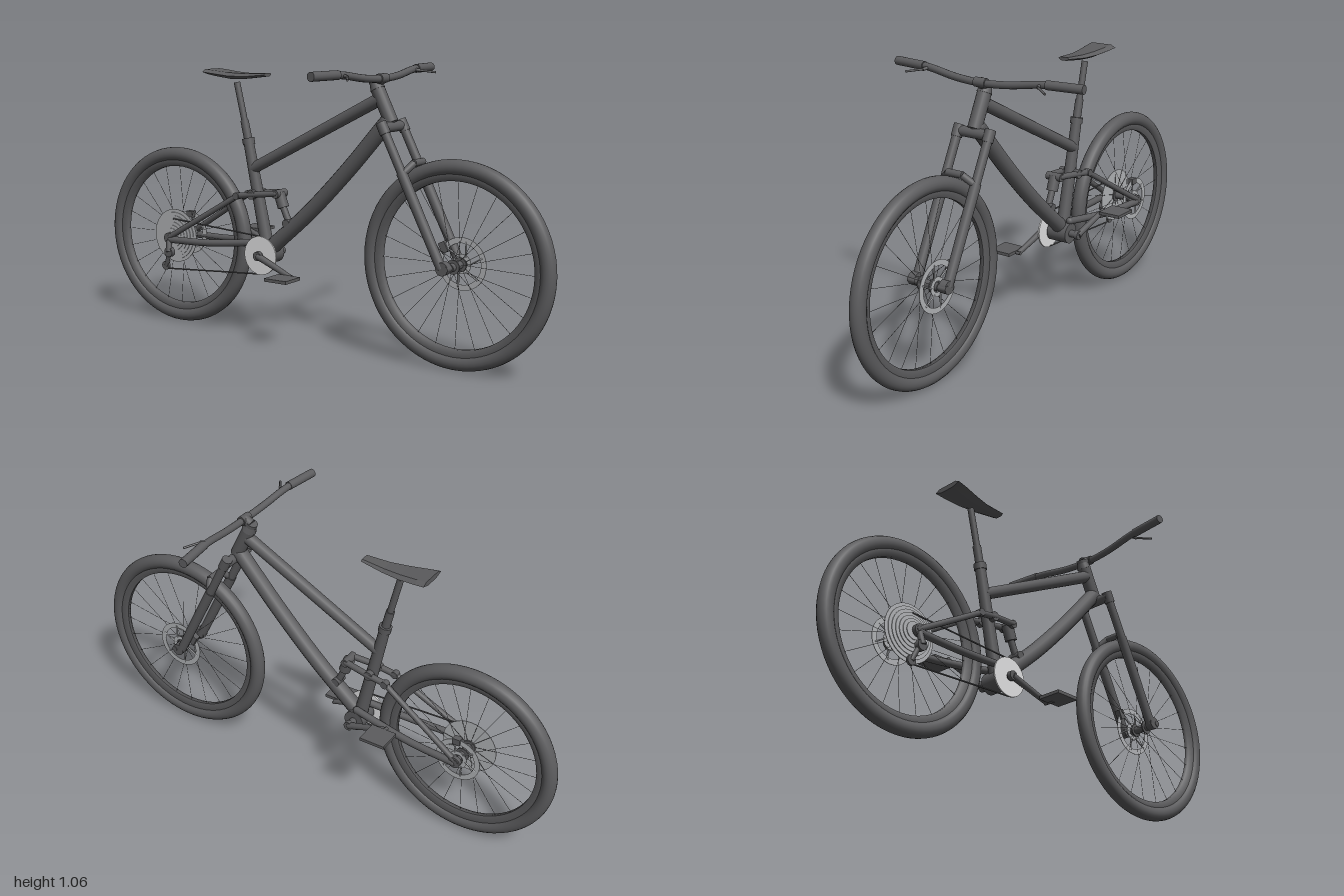
import * as THREE from 'three';

const mat = (name, color) => {
  const m = new THREE.MeshStandardMaterial({ color });
  m.name = name;
  return m;
};
const V = (x, y, z = 0) => new THREE.Vector3(x, y, z);

export function createModel() {
  const bike = new THREE.Group();
  bike.name = 'mountainBike';
  const dark = mat('darkGrey', 0x5c5c5e);
  const steel = mat('steel', 0xb2b4b7);
  const silver = mat('silver', 0xe2e2e3);

  const add = (name, geo, material = dark, parent = bike) => {
    const m = new THREE.Mesh(geo, material);
    m.name = name;
    parent.add(m);
    return m;
  };
  // Straight tapered rod between two points
  const rod = (name, a, b, r, r2 = r, material = dark, parent = bike, sides = 20) => {
    const m = add(name, new THREE.CylinderGeometry(r2, r, a.distanceTo(b), sides), material, parent);
    m.position.copy(a).lerp(b, 0.5);
    m.quaternion.setFromUnitVectors(V(0, 1), b.clone().sub(a).normalize());
    return m;
  };
  // Smooth bent tube with rounded ends
  const tube = (name, pts, r) => {
    add(name, new THREE.TubeGeometry(new THREE.CatmullRomCurve3(pts), 32, r, 14));
    for (const p of [pts[0], pts[pts.length - 1]])
      add(name + 'End', new THREE.SphereGeometry(r, 14, 10)).position.copy(p);
  };
  // Disc or pin whose axis runs along z
  const disc = (name, x, y, z, r, w, material = dark, parent = bike) =>
    rod(name, V(x, y, z - w / 2), V(x, y, z + w / 2), r, r, material, parent, 36);
  const box = (name, x, y, z, w, h, d, rot = 0) => {
    const m = add(name, new THREE.BoxGeometry(w, h, d));
    m.position.set(x, y, z);
    m.rotation.z = rot;
    return m;
  };

  // Wheels: tyre, rim, hub, spokes and brake rotor
  function wheel(name, x, R, rotorZ, rotorR) {
    const g = new THREE.Group();
    g.name = name;
    g.position.set(x, R, 0);
    bike.add(g);
    add('tyre', new THREE.TorusGeometry(R - 0.0285, 0.0285, 18, 72), dark, g);
    const rimIn = R - 0.076;
    const profile = [[rimIn, -0.008], [R - 0.045, -0.02], [R - 0.04, 0], [R - 0.045, 0.02], [rimIn, 0.008], [rimIn, -0.008]];
    const rim = add('rim', new THREE.LatheGeometry(profile.map(p => new THREE.Vector2(...p)), 72), dark, g);
    rim.geometry.rotateX(Math.PI / 2);
    disc('hub', 0, 0, 0, 0.015, 0.1, dark, g);
    for (const s of [-1, 1]) disc('hubFlange', 0, 0, s * 0.026, 0.026, 0.005, dark, g);
    for (let i = 0; i < 24; i++) {
      const a = (i / 24) * Math.PI * 2, c = Math.cos(a), n = Math.sin(a), z = i % 2 ? 0.026 : -0.026;
      rod('spoke', V(c * 0.02, n * 0.02, z), V(c * rimIn, n * rimIn, 0), 0.0008, 0.0008, dark, g, 5);
    }
    for (const [ro, ri] of [[rotorR, rotorR - 0.021], [0.036, 0.02]]) {
      const ring = new THREE.Shape().absarc(0, 0, ro, 0, Math.PI * 2);
      ring.holes.push(new THREE.Path().absarc(0, 0, ri, 0, Math.PI * 2, true));
      const geo = new THREE.ExtrudeGeometry(ring, { depth: 0.002, bevelEnabled: false, curveSegments: 40 });
      add('brakeRotor', geo, steel, g).position.z = rotorZ - 0.001;
    }
    for (let i = 0; i < 6; i++) {
      const a = (i * Math.PI) / 3, b = a + 0.35;
      rod('rotorArm', V(Math.cos(a) * 0.03, Math.sin(a) * 0.03, rotorZ),
        V(Math.cos(b) * (rotorR - 0.012), Math.sin(b) * (rotorR - 0.012), rotorZ), 0.003, 0.003, steel, g, 6);
    }
  }
  const RX = -0.642, RY = 0.357, FX = 0.623, FY = 0.377, BX = -0.193, BY = 0.33;
  wheel('rearWheel', RX, RY, -0.06, 0.087);
  wheel('frontWheel', FX, FY, -0.042, 0.096);
  disc('rearAxle', RX, RY, 0, 0.01, 0.17);
  disc('frontAxle', FX, FY, 0, 0.011, 0.17);

  // Main frame
  rod('headTube', V(0.293, 0.985), V(0.352, 0.866), 0.026);
  rod('headsetTop', V(0.284, 1.003), V(0.294, 0.983), 0.022, 0.028);
  rod('topTube', V(-0.27, 0.655), V(0.305, 0.95), 0.022, 0.024);
  tube('downTube', [V(-0.17, 0.365), V(0, 0.513), V(0.17, 0.684), V(0.335, 0.868)], 0.03);
  rod('seatTube', V(-0.2, 0.345), V(-0.292, 0.765), 0.026, 0.02);
  rod('seatCollar', V(-0.288, 0.748), V(-0.293, 0.772), 0.024);
  rod('seatPostLower', V(-0.292, 0.765), V(-0.31, 0.84), 0.016);
  rod('seatPost', V(-0.3, 0.8), V(-0.345, 0.985), 0.0125);
  disc('bottomBracket', BX, BY, 0, 0.04, 0.085);

  // Swing arm, rocker links and brackets, mirrored
  for (const s of [-1, 1]) {
    tube('chainStay', [V(-0.63, 0.348, s * 0.075), V(-0.45, 0.352, s * 0.062), V(-0.3, 0.366, s * 0.045), V(-0.2, 0.378, s * 0.033)], 0.014);
    tube('seatStay', [V(-0.635, 0.36, s * 0.075), V(-0.47, 0.458, s * 0.055), V(-0.32, 0.548, s * 0.037)], 0.011);
    tube('rockerLink', [V(-0.32, 0.548, s * 0.036), V(-0.235, 0.56, s * 0.034), V(-0.145, 0.57, s * 0.024)], 0.012);
    disc('dropout', RX + 0.004, RY - 0.003, s * 0.075, 0.022, 0.016);
    disc('rockerPivot', -0.25, 0.558, s * 0.034, 0.018, 0.02);
    disc('stayPivot', -0.32, 0.548, s * 0.037, 0.014, 0.024);
  }
  disc('shockBolt', -0.143, 0.568, 0, 0.016, 0.065);
  rod('shockBody', V(-0.145, 0.57), V(-0.125, 0.515), 0.022);
  rod('shockShaft', V(-0.125, 0.515), V(-0.1, 0.46), 0.013);
  disc('shockMount', -0.098, 0.458, 0, 0.016, 0.05);
  box('rearCaliper', -0.632, 0.435, -0.055, 0.03, 0.025, 0.024);

  // Fork
  const axis = (y, z) => V(0.354 + (0.862 - y) * 0.505, y, z);
  rod('crown', V(0.355, 0.852, -0.07), V(0.355, 0.852, 0.07), 0.019);
  for (const s of [-1, 1]) {
    const z = s * 0.068;
    rod('crownCap', axis(0.832, z), axis(0.872, z), 0.02);
    rod('stanchion', axis(0.86, z), axis(0.66, z), 0.0165);
    rod('forkLower', axis(0.7, z), axis(0.375, z), 0.0195, 0.018);
    disc('forkDropout', FX - 0.015, FY, z, 0.024, 0.03);
    rod('forkArchSide', axis(0.693, s * 0.074), V(0.464, 0.732, s * 0.03), 0.013);
  }
  rod('forkArchBridge', V(0.464, 0.732, -0.034), V(0.464, 0.732, 0.034), 0.013);
  box('frontCaliper', 0.55, 0.43, -0.045, 0.04, 0.026, 0.024, -1.1);

  // Stem, handlebar, grips and brake levers
  rod('steererCap', V(0.29, 0.99), V(0.279, 1.015), 0.022);
  rod('stem', V(0.283, 1.008), V(0.312, 1.022), 0.02);
  rod('barClamp', V(0.312, 1.023, -0.024), V(0.312, 1.023, 0.024), 0.0175);
  tube('handlebar', [V(0.283, 1.046, -0.39), V(0.297, 1.045, -0.25), V(0.308, 1.028, -0.12), V(0.312, 1.022, -0.03),
    V(0.312, 1.022, 0.03), V(0.308, 1.028, 0.12), V(0.297, 1.045, 0.25), V(0.283, 1.046, 0.39)], 0.0135);
  for (const s of [-1, 1]) {
    rod('grip', V(0.297, 1.046, s * 0.265), V(0.281, 1.046, s * 0.405), 0.0165);
    rod('leverBody', V(0.3, 1.044, s * 0.24), V(0.326, 1.04, s * 0.25), 0.006);
    rod('brakeLever', V(0.322, 1.041, s * 0.246), V(0.36, 1.032, s * 0.302), 0.004);
  }

  // Saddle: cross-sections from tail to nose [x, half width, top y, edge y, bottom y]
  const sections = [[-0.466, 0.063, 1.034, 1.024, 1.014], [-0.43, 0.06, 1.031, 1.02, 1.008], [-0.36, 0.049, 1.024, 1.012, 0.999],
    [-0.29, 0.036, 1.021, 1.01, 1.001], [-0.198, 0.024, 1.025, 1.019, 1.012]];
  const pos = [], idx = [];
  for (const [x, w, t, e, b] of sections)
    pos.push(x, t, -w * 0.7, x, t, w * 0.7, x, e, w, x, b, w * 0.45, x, b, -w * 0.45, x, e, -w);
  for (let i = 0; i < sections.length - 1; i++)
    for (let j = 0; j < 6; j++) {
      const a = i * 6 + j, b = i * 6 + ((j + 1) % 6);
      idx.push(a, b, a + 6, b, b + 6, a + 6);
    }
  const last = (sections.length - 1) * 6;
  for (let j = 1; j < 5; j++) idx.push(0, j + 1, j, last, last + j, last + j + 1);
  let saddle = new THREE.BufferGeometry();
  saddle.setAttribute('position', new THREE.Float32BufferAttribute(pos, 3));
  saddle.setIndex(idx);
  saddle = saddle.toNonIndexed();
  saddle.computeVertexNormals();
  add('saddle', saddle);

  // Cassette, chainring and chain
  for (let i = 0; i < 7; i++) disc('cassetteCog', RX, RY, 0.03 + i * 0.0045, 0.108 - i * 0.0125, 0.0025, steel);
  disc('chainring', BX, BY, 0.058, 0.075, 0.006, silver);
  rod('chainUpper', V(RX, 0.428, 0.045), V(BX, 0.403, 0.054), 0.003, 0.003, dark, bike, 8);
  rod('chainLower', V(-0.665, 0.226, 0.07), V(BX, 0.257, 0.056), 0.003, 0.003, dark, bike, 8);

  // Rear derailleur
  rod('derailleurHanger', V(-0.638, 0.345, 0.08), V(-0.63, 0.3, 0.088), 0.012);
  disc('derailleurBody', -0.632, 0.298, 0.082, 0.02, 0.02);
  rod('derailleurCage', V(-0.635, 0.3, 0.08), V(-0.66, 0.238, 0.07), 0.009);
  disc('pulley', -0.662, 0.238, 0.07, 0.018, 0.01);

  // Cranks and pedals
  disc('crankAxle', BX, BY, 0, 0.014, 0.16);
  for (const s of [-1, 1]) {
    const ex = BX + s * 0.165, ey = BY - s * 0.06;
    rod('crankArm', V(BX, BY, s * 0.076), V(ex, ey, s * 0.09), 0.013, 0.01);
    disc('crankBoss', BX, BY, s * 0.075, 0.018, 0.016);
    disc('pedalAxle', ex, ey, s * 0.1, 0.007, 0.04);
    box('pedal', ex, ey + 0.003, s * 0.145, 0.1, 0.012, 0.092);
  }
  return bike;
}
